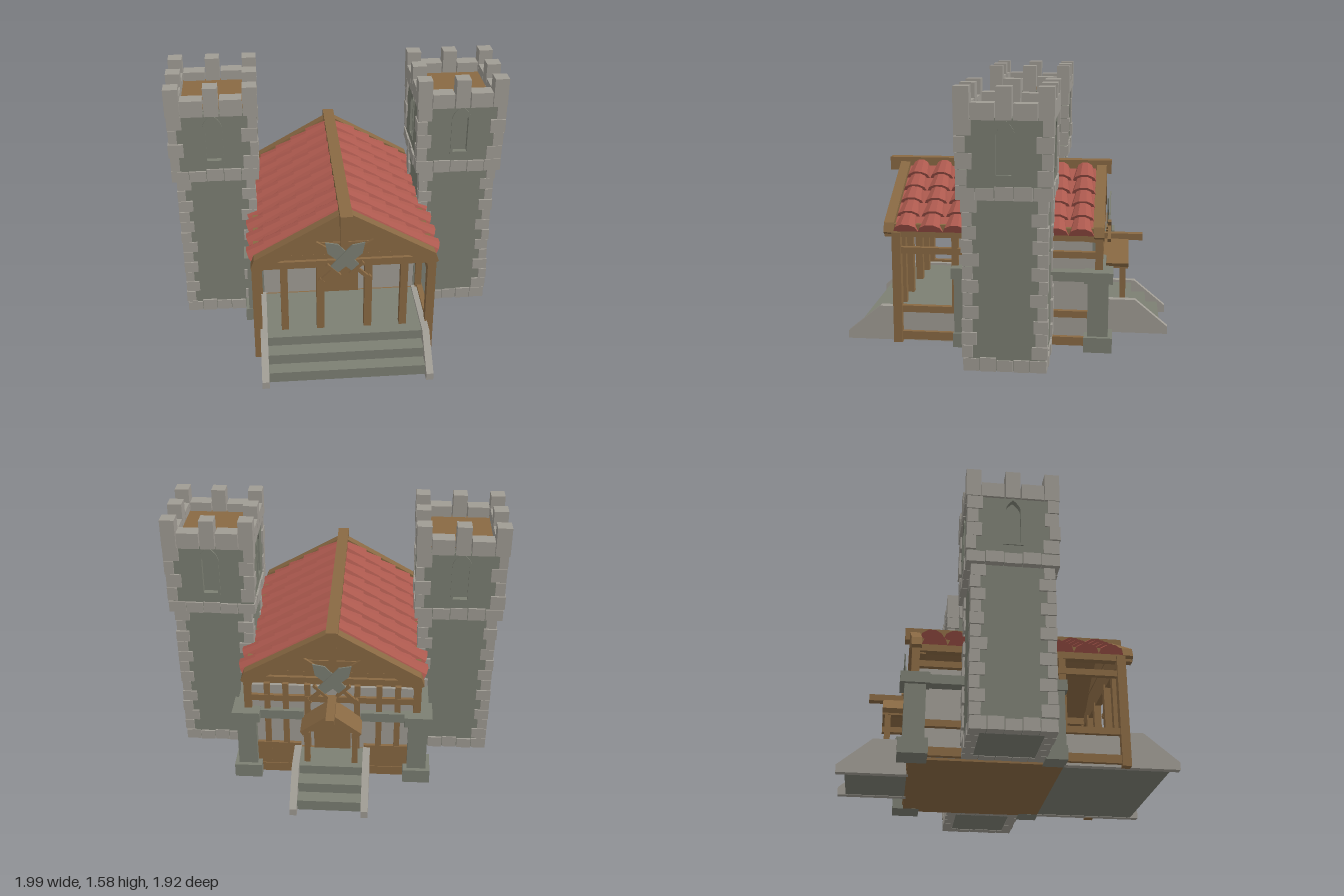
import * as THREE from 'three';
import { mergeGeometries } from 'three/addons/utils/BufferGeometryUtils.js';

const mat = (name, color) => {
  const m = new THREE.MeshStandardMaterial({ color });
  m.name = name;
  return m;
};

export function createModel() {
  const stone = mat('stone', 0x7c7f73), trim = mat('pale stone', 0xa09c94);
  const wood = mat('wood', 0x896943), tileRed = mat('roof tile', 0xac594e);
  const root = new THREE.Group();
  root.name = 'gatehouse';

  let seed = 7;
  const jitter = (a) => {
    seed = (seed * 16807) % 2147483647;
    return (seed / 2147483647 - 0.5) * 2 * a;
  };
  const group = (name, parent = root) => {
    const g = new THREE.Group();
    g.name = name;
    parent.add(g);
    return g;
  };
  const add = (parent, name, geo, m) => {
    const mesh = new THREE.Mesh(geo, m);
    mesh.name = name;
    parent.add(mesh);
    return mesh;
  };
  // Box given by its limits on each axis
  const boxGeo = (x0, x1, y0, y1, z0, z1) =>
    new THREE.BoxGeometry(x1 - x0, y1 - y0, z1 - z0)
      .translate((x0 + x1) / 2, (y0 + y1) / 2, (z0 + z1) / 2);
  const box = (parent, name, m, ...lim) => add(parent, name, boxGeo(...lim), m);
  // The same box on both sides
  const pair = (parent, name, m, x0, x1, ...rest) => {
    box(parent, name, m, x0, x1, ...rest);
    box(parent, name, m, -x1, -x0, ...rest);
  };
  const poly = (pts) => new THREE.Shape(pts.map(([x, y]) => new THREE.Vector2(x, y)));
  const extrude = (shape, depth, z = 0) =>
    new THREE.ExtrudeGeometry(shape, { depth, bevelEnabled: false, curveSegments: 4 }).translate(0, 0, z);

  // ---------- Towers ----------
  const arch = (Type, w, y0, spring, top) => {
    const p = new Type();
    p.moveTo(-w, y0);
    p.lineTo(w, y0);
    p.lineTo(w, spring);
    p.quadraticCurveTo(w * 0.85, top - 0.03, 0, top);
    p.quadraticCurveTo(-w * 0.85, top - 0.03, -w, spring);
    p.closePath();
    return p;
  };
  // Corner stones alternating long and short
  const quoins = (list, out, y0, y1, n) => {
    const h = (y1 - y0) / n;
    for (let i = 0; i < n; i++) for (const sx of [-1, 1]) for (const sz of [-1, 1]) {
      const alt = (i + (sx * sz > 0 ? 1 : 0)) % 2;
      const w = (alt ? 0.085 : 0.055) + jitter(0.008), d = (alt ? 0.055 : 0.085) + jitter(0.008);
      const o = out + jitter(0.004);
      list.push(new THREE.BoxGeometry(w, h - 0.004, d)
        .translate(sx * (o - w / 2), y0 + h * (i + 0.5), sz * (o - d / 2)));
    }
  };
  // Row of stones around all four sides
  const course = (list, out, y0, y1, n) => {
    for (let s = 0; s < 4; s++) for (let i = 0; i < n; i++) {
      const w = 2 * out / n, x = -out + w * i;
      list.push(boxGeo(x + 0.002, x + w - 0.002, y0, y1 + jitter(0.008), out - 0.06, out + (i % 2) * 0.004)
        .rotateY(s * Math.PI / 2));
    }
  };
  for (const side of [-1, 1]) {
    const tower = group(side > 0 ? 'leftTower' : 'rightTower');
    tower.position.set(side * 0.73, 0, -0.045);
    box(tower, 'lowerShaft', stone, -0.222, 0.222, 0.018, 1.0, -0.222, 0.222);
    box(tower, 'upperCore', stone, -0.215, 0.215, 0.985, 1.42, -0.215, 0.215);
    box(tower, 'towerFloor', wood, -0.2, 0.2, 1.42, 1.44, -0.2, 0.2);
    const stones = [];
    course(stones, 0.23, 0.015, 0.085, 5);
    quoins(stones, 0.233, 0.09, 0.98, 12);
    course(stones, 0.258, 0.98, 1.05, 5);
    quoins(stones, 0.261, 1.055, 1.41, 4);
    for (let s = 0; s < 4; s++) {
      const a = s * Math.PI / 2;
      const wall = poly([[-0.25, 0.99], [0.25, 0.99], [0.25, 1.415], [-0.25, 1.415]]);
      wall.holes.push(arch(THREE.Path, 0.045, 1.11, 1.33, 1.395));
      add(tower, 'upperWall', extrude(wall, 0.04, 0.21).rotateY(a), stone);
      const frame = arch(THREE.Shape, 0.057, 1.1, 1.335, 1.41);
      frame.holes.push(arch(THREE.Path, 0.042, 1.115, 1.33, 1.392));
      add(tower, 'windowFrame', extrude(frame, 0.012, 0.245).rotateY(a), stone);
      // Battlements: corner, low stone, middle, low stone
      for (const [x, w, top] of [[-0.223, 0.084, 1.58], [-0.113, 0.128, 1.5], [0, 0.084, 1.58], [0.113, 0.128, 1.5]])
        stones.push(boxGeo(x - w / 2, x + w / 2, 1.405, top + (top < 1.55 ? jitter(0.008) : 0), 0.181, 0.265).rotateY(a));
    }
    add(tower, 'trimStones', mergeGeometries(stones), trim);
  }

  // ---------- Base, stairs and pillars ----------
  const base = group('base');
  box(base, 'hallFloor', wood, -0.49, 0.49, 0.006, 0.2, -0.56, 0.3);
  const cheekShape = poly([[0.3, 0.005], [0.96, 0.005], [0.96, 0.05], [0.76, 0.215], [0.3, 0.215]]);
  const stairs = (name, half, from, dir) => {
    const g = group(name, base);
    [[0.74, 0.2], [0.83, 0.14], [0.91, 0.075]].forEach(([z, y]) => {
      const [a, b] = [from * dir, z * dir].sort((p, q) => p - q);
      box(g, 'step', stone, -half, half, 0.008, y, a, b);
    });
    const len = dir > 0 ? cheekShape : poly([[0.55, 0.005], [0.96, 0.005], [0.96, 0.05], [0.76, 0.215], [0.55, 0.215]]);
    for (const x of [half + 0.042, -half]) {
      const geo = extrude(len, 0.042).rotateY(-Math.PI / 2).translate(x, 0, 0);
      if (dir < 0) geo.rotateY(Math.PI);
      add(g, 'stairCheek', geo, trim);
    }
  };
  stairs('frontStairs', 0.458, 0.3, 1);
  stairs('backStairs', 0.187, 0.55, -1);

  const pillars = group('pillars');
  pair(pillars, 'backPillarBase', stone, 0.43, 0.595, 0.005, 0.095, -0.625, -0.46);
  pair(pillars, 'backPillar', stone, 0.455, 0.57, 0.095, 0.42, -0.6, -0.48);
  pair(pillars, 'backPillarCap', stone, 0.43, 0.595, 0.42, 0.485, -0.625, -0.46);
  pair(pillars, 'frontPillarBase', stone, 0.46, 0.59, 0.005, 0.09, 0.18, 0.305);
  pair(pillars, 'frontPillar', stone, 0.47, 0.57, 0.09, 0.42, 0.19, 0.3);
  pair(pillars, 'frontPillarCap', stone, 0.46, 0.585, 0.42, 0.485, 0.18, 0.315);
  pair(pillars, 'sideStoneRail', stone, 0.5, 0.575, 0.425, 0.48, -0.47, 0.2);
  box(pillars, 'frontStoneRail', stone, -0.47, 0.47, 0.42, 0.48, 0.27, 0.312);
  pair(pillars, 'backStoneRail', stone, 0.17, 0.46, 0.42, 0.48, -0.58, -0.53);

  // ---------- Timber-framed hall ----------
  const hall = group('hall');
  pair(hall, 'sidePanel', trim, 0.475, 0.495, 0.02, 0.55, -0.54, 0.28);
  box(hall, 'frontPanel', trim, -0.48, 0.48, 0.2, 0.64, 0.265, 0.29);
  box(hall, 'backPanel', trim, -0.48, 0.48, 0.02, 0.64, -0.545, -0.52);
  box(hall, 'frontDoor', wood, -0.12, 0.12, 0.2, 0.42, 0.28, 0.305);
  box(hall, 'backDoor', wood, -0.11, 0.11, 0.2, 0.42, -0.565, -0.54);
  for (const [y0, y1] of [[0.02, 0.07], [0.19, 0.23], [0.55, 0.588]])
    pair(hall, 'sideRail', wood, 0.492, 0.525, y0, y1, -0.55, 0.63);
  pair(hall, 'cornerPost', wood, 0.487, 0.537, 0.003, 0.68, 0.62, 0.672);
  pair(hall, 'innerPost', wood, 0.48, 0.52, 0.2, 0.66, 0.28, 0.32);
  pair(hall, 'backPost', wood, 0.48, 0.525, 0.02, 0.66, -0.565, -0.52);
  pair(hall, 'porchPost', wood, 0.33, 0.373, 0.2, 0.66, 0.625, 0.67);
  pair(hall, 'porchPost', wood, 0.118, 0.163, 0.2, 0.66, 0.625, 0.67);
  for (const x of [0.13, 0.26, 0.37]) pair(hall, 'backStud', wood, x, x + 0.035, 0.02, 0.66, -0.562, -0.54);
  for (const y of [0.03, 0.19, 0.54]) pair(hall, 'backRail', wood, 0.19, 0.5, y, y + 0.04, -0.565, -0.54);
  box(hall, 'backLintel', wood, -0.2, 0.2, 0.54, 0.58, -0.565, -0.54);

  // ---------- Roof ----------
  const roof = group('roof');
  const slope = 0.6, ang = Math.atan(slope), c = Math.cos(ang), s = Math.sin(ang);
  box(roof, 'ridgeBeam', wood, -0.035, 0.035, 0.96, 1.042, -0.6, 0.785);
  pair(roof, 'eaveBeam', wood, 0.475, 0.522, 0.65, 0.727, -0.565, 0.715);
  const chevron = poly([[0, 1.035], [0.52, 0.735], [0.54, 0.68], [0.5, 0.65], [0, 0.945],
    [-0.5, 0.65], [-0.54, 0.68], [-0.52, 0.735]]);
  const bed = poly([[0, 1.0], [0.52, 0.7], [0.52, 0.67], [0, 0.97], [-0.52, 0.67], [-0.52, 0.7]]);
  add(roof, 'roofDeck', extrude(bed, 1.2, -0.53), wood);
  const underlay = poly([[0, 1.01], [0.52, 0.71], [0.52, 0.69], [0, 0.99], [-0.52, 0.69], [-0.52, 0.71]]);
  add(roof, 'tileBed', extrude(underlay, 1.16, -0.505), tileRed);

  // Tapered barrel tiles, five rows by eight columns on each slope
  const tiles = [];
  const tile = new THREE.CylinderGeometry(0.05, 0.0735, 0.136, 5, 1, false, -Math.PI / 2, Math.PI)
    .scale(1, 1, 0.78).toNonIndexed();
  tile.computeVertexNormals();
  for (const sd of [-1, 1]) for (let r = 0; r < 5; r++) for (let k = 0; k < 8; k++) {
    const x = 0.075 + r * 0.1;
    const m = new THREE.Matrix4().makeBasis(
      new THREE.Vector3(0, 0, -sd), new THREE.Vector3(-sd * c, s, 0), new THREE.Vector3(sd * s, c, 0));
    m.setPosition(sd * x, 1.006 - slope * x, 0.075 + (k - 3.5) * 0.1465);
    tiles.push(tile.clone().applyMatrix4(m));
  }
  add(roof, 'roofTiles', mergeGeometries(tiles), tileRed);

  // Crossed swords
  const swords = (parent, z) => {
    const g = group('crossedSwords', parent);
    for (const sd of [-1, 1]) {
      const sw = group('sword', g);
      sw.position.set(-0.008 * sd, 0.7, z + sd * 0.006);
      sw.rotation.z = -sd * Math.PI / 4;
      add(sw, 'blade', extrude(poly([[-0.03, -0.08], [0.03, -0.08], [0.042, 0.11], [0, 0.172], [-0.042, 0.11]]), 0.009, -0.0045), stone);
      box(sw, 'guard', wood, -0.055, 0.055, -0.092, -0.075, -0.01, 0.01);
      box(sw, 'grip', wood, -0.011, 0.011, -0.18, -0.09, -0.009, 0.009);
      box(sw, 'pommel', wood, -0.017, 0.017, -0.192, -0.172, -0.011, 0.011);
    }
  };

  // Gable ends: verge boards, planks, tie beam, king post and braces
  const gable = (name, z, dir) => {
    const g = group(name, roof);
    g.position.z = z;
    if (dir < 0) g.rotation.y = Math.PI;
    add(g, 'vergeBoard', extrude(chevron, 0.06, -0.06), wood);
    [0.65, 0.72, 0.8, 0.88].forEach((y, i) => {
      const y1 = [0.72, 0.8, 0.88, 0.97][i] - 0.003;
      const a = Math.min(0.5, (0.985 - y) / slope), b = Math.max(0.01, (0.985 - y1) / slope);
      add(g, 'plank', extrude(poly([[-a, y], [a, y], [b, y1], [-b, y1]]), 0.02, -0.085 + (i % 2) * 0.004), wood);
    });
    box(g, 'tieBeam', wood, -0.5, 0.5, 0.64, 0.685, -0.085, -0.045);
    box(g, 'kingPost', wood, -0.022, 0.022, 0.68, 0.96, -0.07, -0.045);
    for (const sd of [-1, 1]) {
      const brace = add(g, 'brace', new THREE.BoxGeometry(0.22, 0.03, 0.02), wood);
      brace.position.set(sd * 0.11, 0.76, -0.056);
      brace.rotation.z = sd * 0.6;
    }
    swords(g, dir > 0 ? -0.02 : 0.02);
  };
  gable('frontGable', 0.718, 1);
  gable('backGable', -0.57, -1);

  // ---------- Back door canopy ----------
  const canopy = group('backCanopy');
  box(canopy, 'canopyRidge', wood, -0.025, 0.025, 0.54, 0.58, -0.8, -0.55);
  const hood = poly([[0, 0.565], [0.18, 0.43], [0.165, 0.405], [0, 0.528], [-0.165, 0.405], [-0.18, 0.43]]);
  add(canopy, 'canopyRoof', extrude(hood, 0.16, -0.715), wood);
  add(canopy, 'canopyGable', extrude(poly([[-0.15, 0.42], [0.15, 0.42], [0, 0.53]]), 0.02, -0.695), wood);
  pair(canopy, 'canopyBeam', wood, 0.122, 0.16, 0.395, 0.43, -0.715, -0.55);
  pair(canopy, 'canopyPost', wood, 0.124, 0.158, 0.2, 0.4, -0.7, -0.665);

  return root;
}
